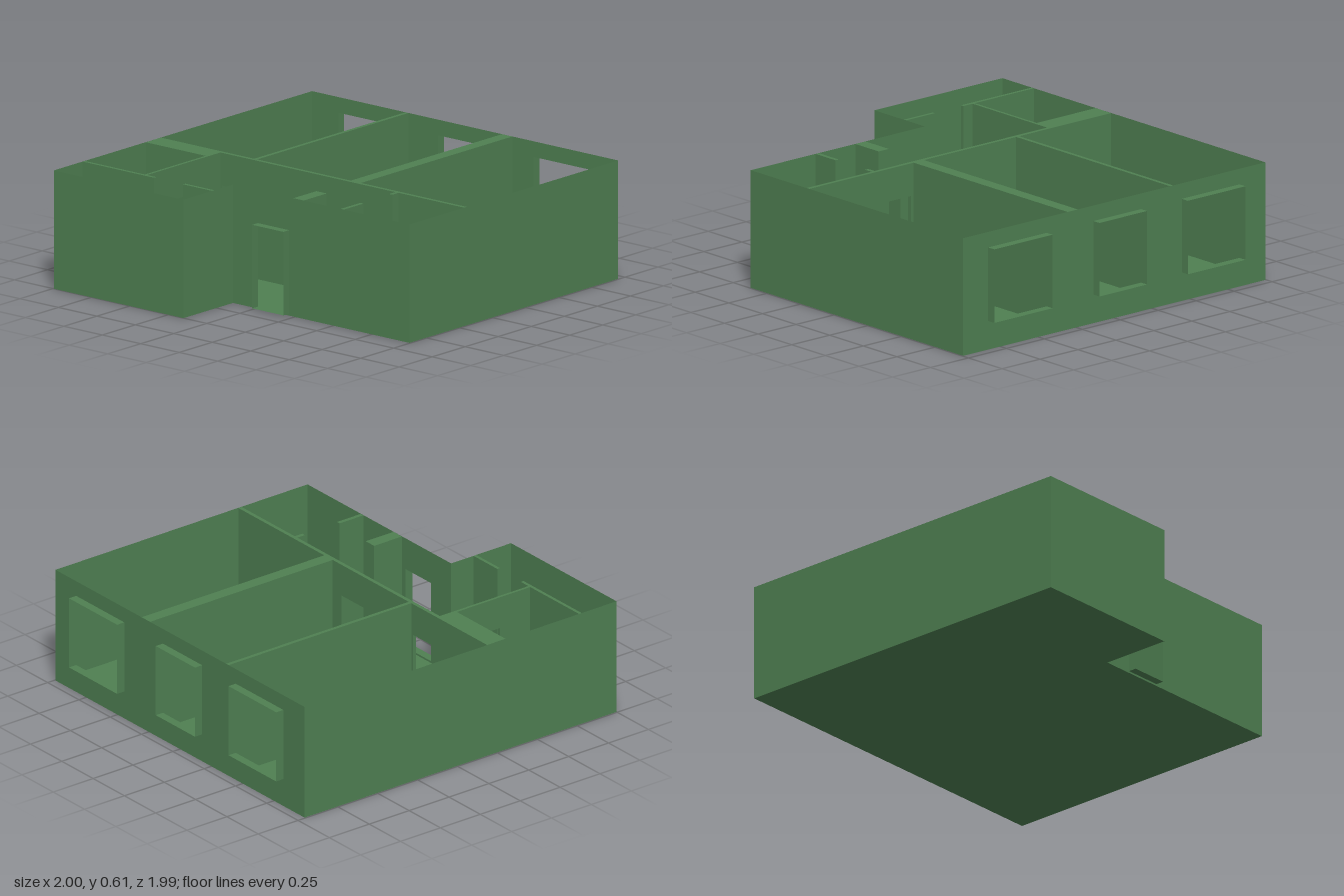
import * as THREE from 'three';

const H = 0.605, DOOR_Y = [0.01, 0.437], WIN_Y = [0.147, 0.525];
const E = 0.955, W = -1, W2 = -0.625, N = -0.995, S = 0.995, STEP = -0.152;

const material = new THREE.MeshStandardMaterial({
  color: 0x4f8052, side: THREE.DoubleSide, flatShading: true,
});

// Wall elevation from u0 to u1 with rectangular openings [uMin, uMax, [yMin, yMax]]
function elevation(u0, u1, openings) {
  const rect = (Type, a, b, c, d) => new Type([[a, c], [b, c], [b, d], [a, d]].map((p) => new THREE.Vector2(...p)));
  const shape = rect(THREE.Shape, u0, u1, 0, H);
  for (const [a, b, y] of openings) shape.holes.push(rect(THREE.Path, a, b, ...y));
  return shape;
}

export function createModel() {
  const model = new THREE.Group();
  model.name = 'apartment';

  function add(name, geometry) {
    const mesh = new THREE.Mesh(geometry, material);
    mesh.name = name;
    model.add(mesh);
  }

  // Zero thickness (t0 === t1) gives a sheet, otherwise a solid wall
  function wallGeometry(u0, u1, t, openings) {
    const shape = elevation(u0, u1, openings);
    return t > 0
      ? new THREE.ExtrudeGeometry(shape, { depth: t, bevelEnabled: false })
      : new THREE.ShapeGeometry(shape);
  }
  function wallAlongX(name, x0, x1, z0, z1 = z0, openings = []) {
    add(name, wallGeometry(x0, x1, z1 - z0, openings).translate(0, 0, z0));
  }
  function wallAlongZ(name, z0, z1, x0, x1 = x0, openings = []) {
    add(name, wallGeometry(z0, z1, x1 - x0, openings).rotateY(-Math.PI / 2).translate(x1, 0, 0));
  }

  // Open-ended rectangular lining that sticks out through a wall
  function sleeve(name, x0, x1, [z0, z1, [y0, y1]]) {
    const g = new THREE.BoxGeometry(x1 - x0, y1 - y0, z1 - z0);
    g.setIndex(Array.from(g.index.array).slice(12)); // drop both x ends
    add(name, g.translate((x0 + x1) / 2, (y0 + y1) / 2, (z0 + z1) / 2));
  }

  // Floor slab following the stepped plan
  const plan = [[W, N], [E, N], [E, S], [W2, S], [W2, STEP], [W, STEP]];
  const floor = new THREE.Shape(plan.map(([x, z]) => new THREE.Vector2(x, -z)));
  add('floor', new THREE.ShapeGeometry(floor).rotateX(-Math.PI / 2));

  // Thin outer shell
  const entry = [0.01, 0.213, DOOR_Y];
  wallAlongX('backWall', W, E, N);
  wallAlongX('frontWall', W2, E, S);
  wallAlongX('stepWall', W, W2, STEP);
  wallAlongZ('entranceWall', STEP, S, W2, W2, [entry]);
  wallAlongZ('rightBackWall', N, STEP, W);
  sleeve('entranceLining', -0.668, W2, entry);

  // Window side, one panel per room between the partition ends
  const rooms = [
    [N, -0.388, [-0.825, -0.445, WIN_Y]],
    [-0.368, 0.24, [-0.177, 0.137, WIN_Y]],
    [0.307, S, [0.445, 0.83, WIN_Y]],
  ];
  for (const [z0, z1, win] of rooms) {
    wallAlongZ('windowWall', z0, z1, E, E, [win]);
    sleeve('windowLining', E, 1, win);
  }

  // Corridor wall with a door to each room, and the thick duct block behind it
  const e = 0.001;
  wallAlongZ('corridorWall', -0.59, S - e, -0.21, -0.19, [
    [-0.58, -0.4, DOOR_Y], [-0.03, 0.17, DOOR_Y], [0.325, 0.527, DOOR_Y],
  ]);
  wallAlongZ('ductBlock', N + e, -0.59, -0.305, -0.19);

  // Partitions between the rooms
  wallAlongX('backPartition', -0.19, E, -0.388, -0.368);
  wallAlongX('frontPartition', -0.19, E, 0.24, 0.307);

  // Bathroom and storage walls
  wallAlongX('bathroomWall', -0.765, -0.305, -0.605, -0.59, [[-0.575, -0.41, DOOR_Y]]);
  wallAlongX('bathroomWallEnd', -0.305, -0.21, -0.605, -0.59);
  wallAlongZ('storageWallBack', N + e, -0.53, -0.782, -0.765);
  wallAlongZ('storageWallFront', -0.342, STEP - e, -0.782, -0.765);

  // Short stubs in the hall
  wallAlongX('hallPier', W2 + e, -0.45, 0.24, 0.307);
  wallAlongX('kitchenStubRight', W2 + e, -0.475, 0.547, 0.568);
  wallAlongX('kitchenStubLeft', -0.257, -0.21, 0.547, 0.568);

  return model;
}
